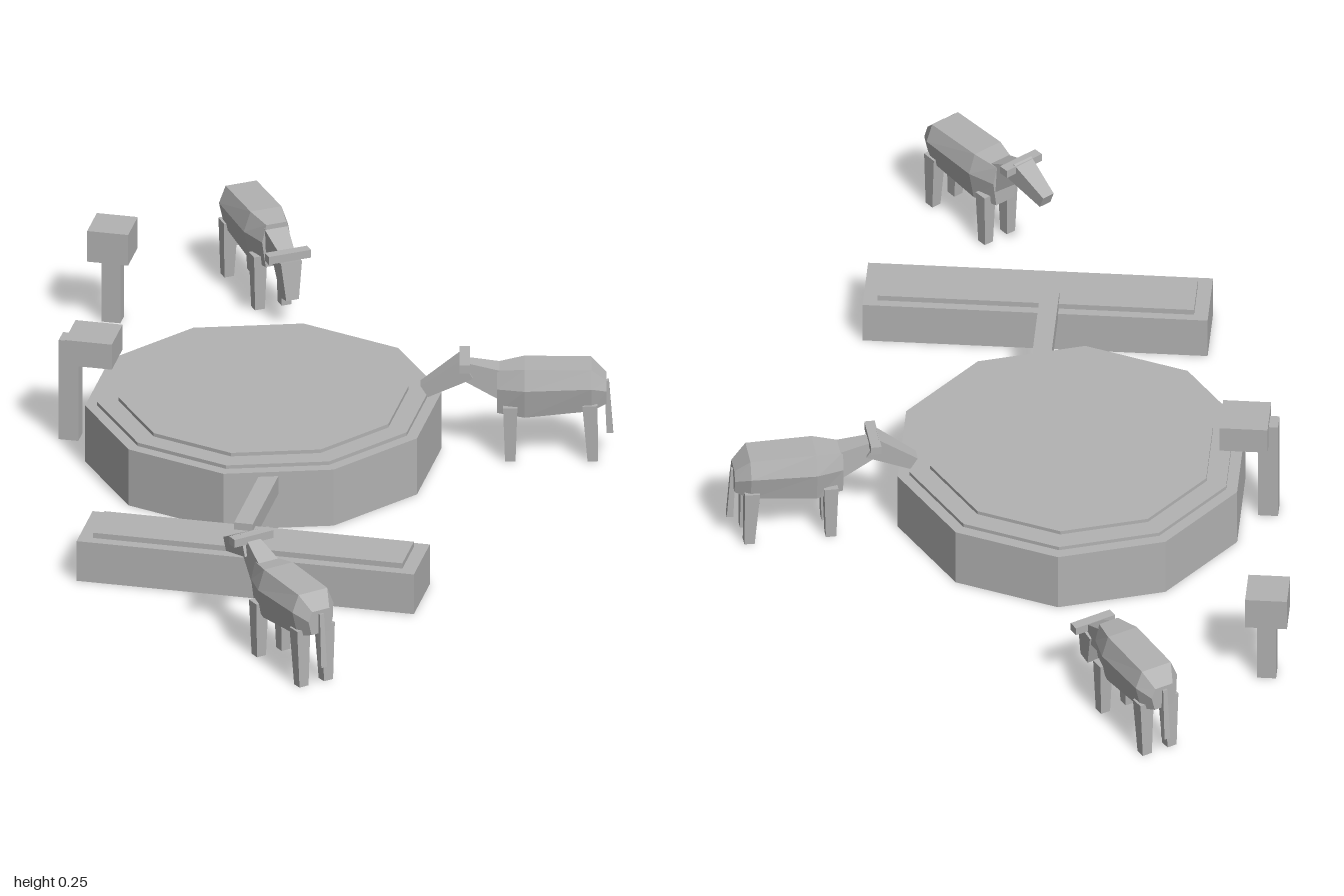
import * as THREE from 'three';

const grey = new THREE.MeshStandardMaterial({ color: 0xb2b2b2, flatShading: true, side: THREE.DoubleSide });
grey.name = 'plain grey';

function add(parent, name, geometry, x = 0, y = 0, z = 0) {
  const mesh = new THREE.Mesh(geometry, grey);
  mesh.name = name;
  mesh.position.set(x, y, z);
  parent.add(mesh);
  return mesh;
}

// Box given by its base height and top height
function block(parent, name, w, d, y0, y1, x, z) {
  return add(parent, name, new THREE.BoxGeometry(w, y1 - y0, d), x, (y0 + y1) / 2, z);
}

// Box without its underside
function openBlock(parent, name, w, d, y0, y1, x, z) {
  const mesh = block(parent, name, w, d, y0, y1, x, z);
  const index = Array.from(mesh.geometry.index.array);
  index.splice(18, 6);
  mesh.geometry.setIndex(index);
  return mesh;
}

// Tapered square bar between two points in the animal's side plane
function bar(parent, name, a, b, ra, rb, widthScale, w = 0) {
  const du = b[0] - a[0], dy = b[1] - a[1];
  const geo = new THREE.CylinderGeometry(rb * Math.SQRT2, ra * Math.SQRT2, Math.hypot(du, dy), 4);
  geo.rotateY(Math.PI / 4);
  geo.scale(1, 1, widthScale);
  geo.rotateZ(Math.atan2(dy, du) - Math.PI / 2);
  return add(parent, name, geo, (a[0] + b[0]) / 2, (a[1] + b[1]) / 2, w);
}

// Body lofted through six-sided sections: [along, bottom, top, half width]
function bodyGeometry() {
  const sections = [
    [-0.117, 0.125, 0.178, 0.030],
    [-0.085, 0.115, 0.208, 0.050],
    [0.055, 0.100, 0.210, 0.050],
    [0.113, 0.105, 0.202, 0.032],
  ];
  const pos = [], idx = [];
  for (const [u, b, t, h] of sections) {
    const mid = b + (t - b) * 0.6;
    pos.push(u, b, -h * 0.75, u, mid, -h, u, t, -h * 0.7, u, t, h * 0.7, u, mid, h, u, b, h * 0.75);
  }
  for (let s = 0; s < 3; s++) {
    for (let i = 0; i < 6; i++) {
      const a = s * 6 + i, b = s * 6 + (i + 1) % 6;
      idx.push(a, a + 6, b, b, a + 6, b + 6);
    }
  }
  for (let i = 1; i < 5; i++) idx.push(0, i, i + 1, 18, 18 + i + 1, 18 + i);
  const geo = new THREE.BufferGeometry();
  geo.setAttribute('position', new THREE.Float32BufferAttribute(pos, 3));
  geo.setIndex(idx);
  geo.computeVertexNormals();
  return geo;
}

// One grazing animal; poll and muzzle set the pose of its head
function cow(parent, x, z, dx, dz, poll, muzzle) {
  const g = new THREE.Group();
  g.name = 'cow';
  add(g, 'body', bodyGeometry());
  for (const w of [-0.03, 0.03]) {
    bar(g, 'frontLeg', [0.085, 0.125], [0.085, 0], 0.015, 0.011, 1, w);
    bar(g, 'hindLeg', [-0.082, 0.13], [-0.088, 0], 0.016, 0.011, 1, w);
  }
  bar(g, 'neck', [0.09, 0.165], [poll[0], poll[1] - 0.008], 0.034, 0.02, 0.8);
  bar(g, 'head', [poll[0] - 0.004, poll[1]], muzzle, 0.025, 0.015, 0.95);
  add(g, 'horns', new THREE.BoxGeometry(0.022, 0.018, 0.095), poll[0], poll[1] + 0.012, 0);
  bar(g, 'tail', [-0.117, 0.17], [-0.124, 0.05], 0.005, 0.007, 1);
  g.position.set(x, 0, z);
  g.rotation.y = Math.atan2(-dz, dx);
  parent.add(g);
}

export function createModel() {
  const model = new THREE.Group();
  model.name = 'wateringPlace';

  // Ten-sided tank, open below, with a stepped lid
  const profile = [[0.375, 0], [0.375, 0.13], [0.35, 0.13], [0.35, 0.138], [0.305, 0.138], [0.305, 0.146], [0, 0.146]];
  add(model, 'tank', new THREE.LatheGeometry(profile.map(p => new THREE.Vector2(...p)), 10), -0.11, 0, -0.09);

  // Trough fed by a square pipe
  openBlock(model, 'trough', 0.725, 0.15, 0, 0.092, 0.008, 0.52);
  openBlock(model, 'troughWater', 0.665, 0.108, 0.092, 0.104, 0.008, 0.518);
  block(model, 'feedPipe', 0.04, 0.25, 0.079, 0.12, -0.02, 0.365);

  // Posts with boxes
  block(model, 'farPost', 0.04, 0.036, 0, 0.15, -0.565, -0.663);
  block(model, 'farPostBox', 0.088, 0.09, 0.149, 0.22, -0.566, -0.663);
  block(model, 'tankPost', 0.042, 0.04, 0, 0.23, -0.524, -0.088);
  block(model, 'tankPostBox', 0.101, 0.1, 0.187, 0.245, -0.475, -0.09);

  // Three animals with heads low, level and raised
  cow(model, -0.305, -0.872, 0.57, 0.82, [0.178, 0.145], [0.19, 0.062]);
  cow(model, 0.475, -0.232, -0.385, 0.09, [0.18, 0.205], [0.265, 0.15]);
  cow(model, 0.178, 0.898, -0.265, -0.275, [0.165, 0.22], [0.25, 0.185]);
  return model;
}
